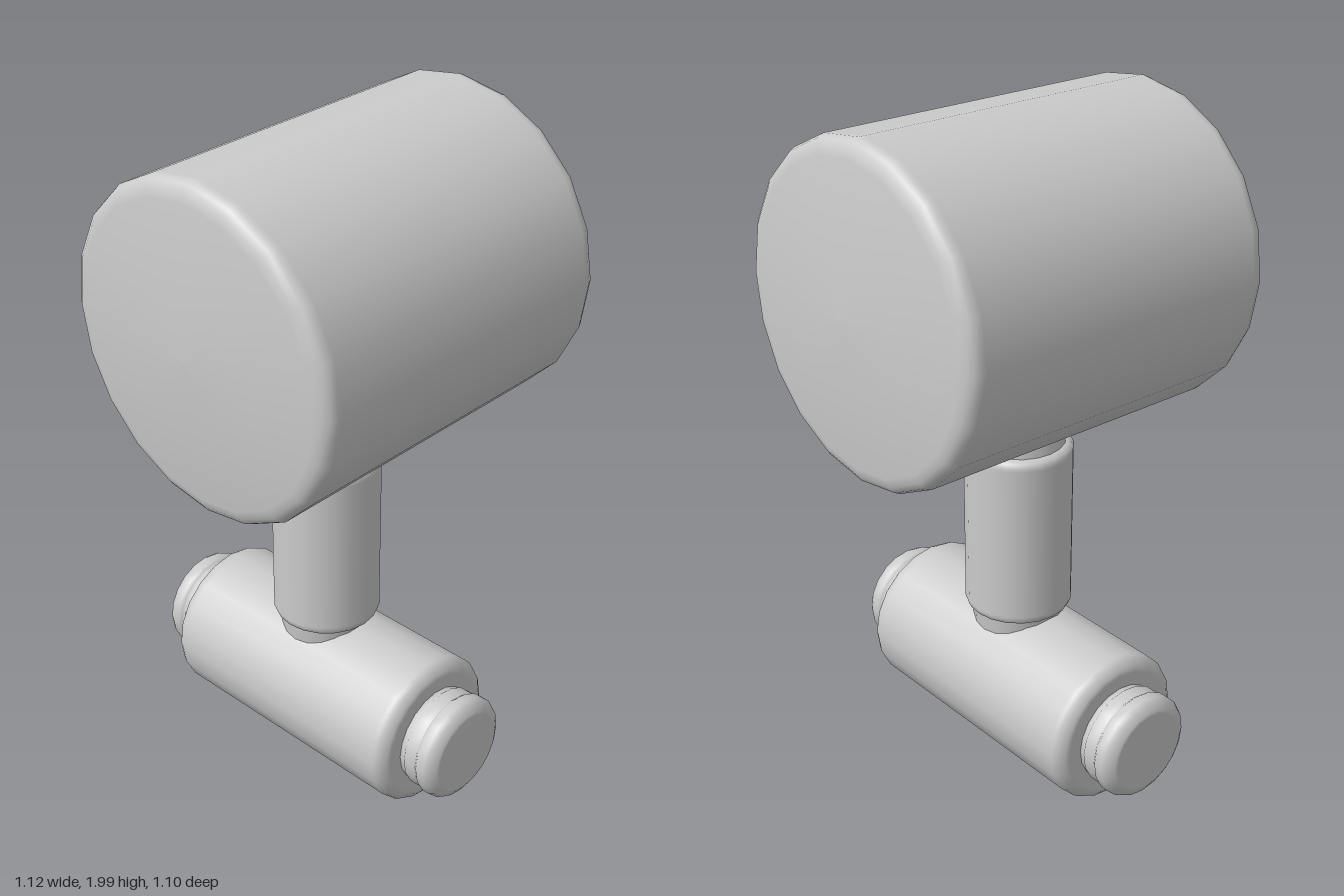
import * as THREE from 'three';

const material = new THREE.MeshStandardMaterial({ color: 0xcccccc });

// Solid of revolution about y from [radius, height] pairs, listed bottom to top
function turned(name, profile, sides = 20) {
  const points = profile.map(([r, y]) => new THREE.Vector2(r, y));
  const mesh = new THREE.Mesh(new THREE.LatheGeometry(points, sides), material);
  mesh.name = name;
  return mesh;
}

// Completes a half profile (from the middle outwards) with its mirror image
function symmetric(half) {
  return [...half.map(([r, y]) => [r, -y]).reverse(), ...half];
}

export function createModel() {
  const model = new THREE.Group();
  model.name = 'mallet';

  // Large drum head with shallow domed faces, tipped slightly up at the back
  const head = turned('head', symmetric([
    [0.47, 0.47], [0.47, 0.485], [0.462, 0.502], [0.445, 0.514], [0.42, 0.521],
    [0.21, 0.546], [0, 0.552],
  ]), 20);
  head.rotation.x = Math.PI / 2 + 0.022;
  head.position.set(0.017, 1.519, 0);
  model.add(head);

  // Neck: thin core showing above and below a thicker sleeve
  const core = turned('neckCore', [[0, 0.3], [0.135, 0.3], [0.135, 1.15], [0, 1.15]]);
  const sleeve = turned('neckSleeve', symmetric([
    [0.158, 0.24], [0.158, 0.25], [0.153, 0.262], [0.14, 0.269], [0.13, 0.27], [0, 0.27],
  ]));
  sleeve.position.y = 0.75;
  const neck = new THREE.Group();
  neck.name = 'neck';
  neck.position.z = 0.027;
  neck.add(core, sleeve);
  model.add(neck);

  // Cross grip lying along x, with a collared knob on each end
  const grip = new THREE.Group();
  grip.name = 'crossGrip';
  const barrel = turned('gripBarrel', symmetric([
    [0.23, 0.39], [0.23, 0.405], [0.223, 0.42], [0.205, 0.434], [0.19, 0.436], [0, 0.436],
  ]));
  grip.add(barrel);
  for (const side of [1, -1]) {
    const knob = turned(side > 0 ? 'leftKnob' : 'rightKnob', [
      [0, 0.4], [0.148, 0.4], [0.148, 0.45], [0.154, 0.456], [0.154, 0.484],
      [0.148, 0.492], [0.152, 0.497], [0.159, 0.505], [0.159, 0.53],
      [0.15, 0.546], [0.13, 0.558], [0.12, 0.56], [0, 0.56],
    ]);
    if (side < 0) knob.rotation.x = Math.PI;
    grip.add(knob);
  }
  grip.rotation.z = -Math.PI / 2 + 0.008;
  grip.position.set(0, 0.24, 0.027);
  model.add(grip);

  return model;
}
